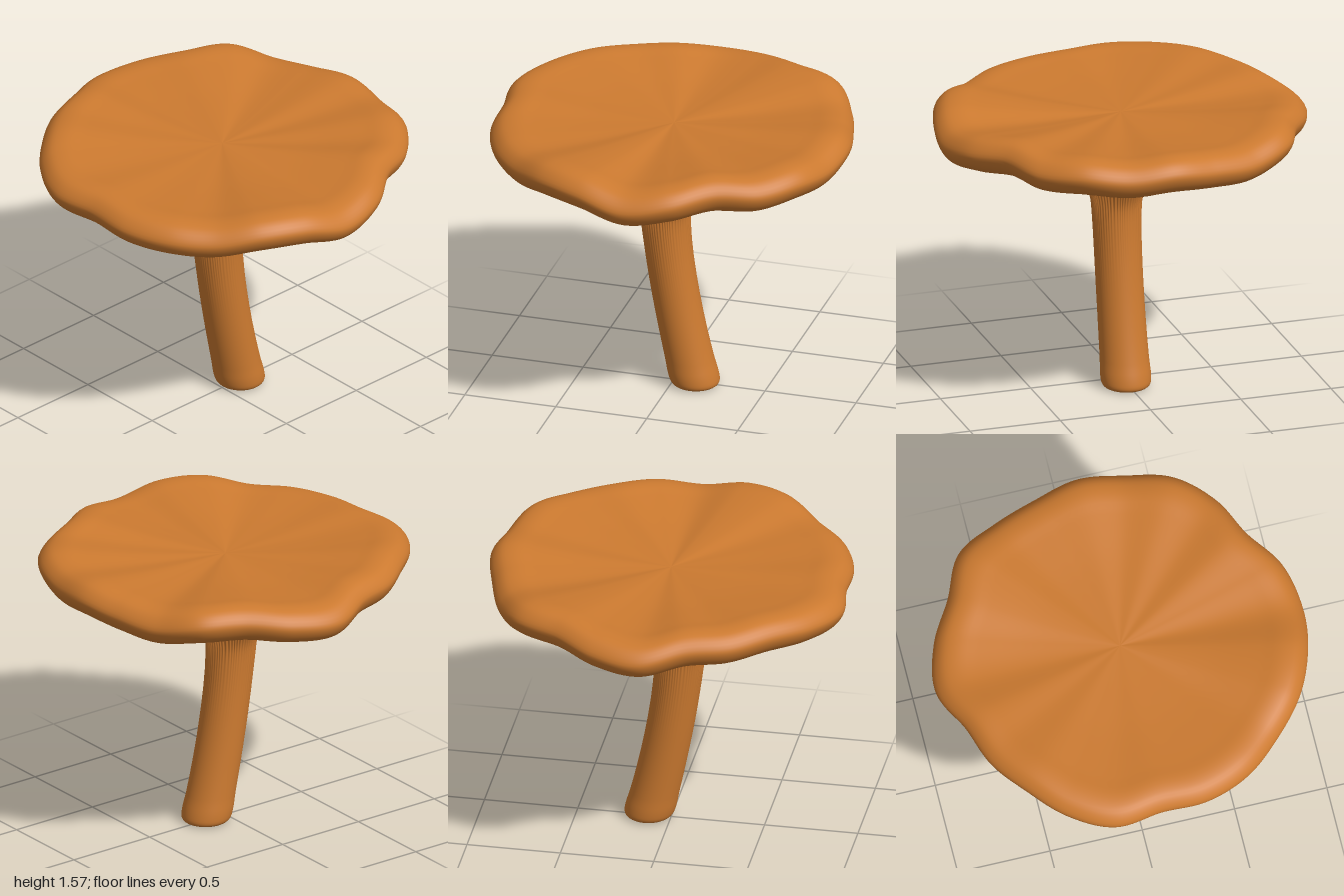
import * as THREE from 'three';

const COLS = 336, STEP = 4; // vertices around, rings per profile segment

// Cap outline radius and rim height offset, every 15 degrees from +x towards the back
const OUTLINE = [0.965, 0.945, 0.965, 0.995, 0.945, 0.98, 0.997, 0.93, 0.94, 0.945, 0.98, 0.997,
  0.94, 0.965, 0.975, 0.965, 0.985, 0.99, 0.993, 0.975, 0.92, 0.97, 0.99, 0.968];
const WAVE = [0.015, -0.01, -0.025, 0.02, 0.02, -0.01, -0.025, 0.015, 0.015, 0.03, 0.015, 0,
  0, -0.015, -0.02, -0.025, 0.02, 0.015, -0.04, -0.005, 0.025, 0.005, 0.02, -0.005];

// Profile (radius, height): top centre, over the rim, under the cap, down the stem
const PROFILE = [
  [0, 1.5], [0.25, 1.505], [0.5, 1.515], [0.75, 1.535], [0.87, 1.545], [0.95, 1.525], [1, 1.465],
  [0.985, 1.41], [0.94, 1.367], [0.75, 1.318], [0.5, 1.265], [0.28, 1.19], [0.18, 1.11], [0.14, 1.02],
  [0.13, 0.9], [0.126, 0.5], [0.13, 0.15], [0.134, 0.06], [0.128, 0.018], [0.108, 0.002], [0, 0],
];
const RIM = 6, GILL_START = 8, STEM_START = 14;

// Smooth closed interpolation through evenly spaced samples
function periodic(samples, t) {
  const n = samples.length, f = t * n, i = Math.floor(f), u = f - i;
  const [a, b, c, d] = [-1, 0, 1, 2].map((k) => samples[(i + k + n) % n]);
  return b + 0.5 * u * (c - a + u * (2 * a - 5 * b + 4 * c - d + u * (3 * (b - c) + d - a)));
}

function buildSurface() {
  const curve = new THREE.CatmullRomCurve3(PROFILE.map(([r, y]) => new THREE.Vector3(r, y, 0)));
  const rows = (PROFILE.length - 1) * STEP;
  const smooth = THREE.MathUtils.smoothstep;
  const positions = [], index = [];
  for (let i = 0; i <= rows; i++) {
    const k = i / STEP;
    const p = curve.getPoint(i / rows);
    const R = i === 0 || i === rows ? 0 : Math.max(p.x, 0);
    const spread = k < RIM ? 1 : smooth(R, 0.15, 0.9);
    const wavy = k < STEM_START ? Math.pow(R, k < RIM ? 1.2 : 2) * spread : 0;
    const gill = smooth(k, GILL_START, GILL_START + 2) * (1 - smooth(k, 12.5, 15));
    // The stem leans and bends towards +x at its foot
    const bend = -0.045 + 0.17 * Math.pow(Math.max(0, 1 - p.y), 1.5);
    const cx = bend * (1 - spread), cz = 0.01 * (1 - spread);
    for (let j = 0; j < COLS; j++) {
      const t = j / COLS, a = t * Math.PI * 2;
      const ridge = 0.0045 * gill *
        Math.cos(56 * a + 1.2 * Math.sin(5 * a) + 0.8 * Math.sin(11 * a + 8 * R));
      const r = R * THREE.MathUtils.lerp(1, periodic(OUTLINE, t), spread) - ridge * 0.6;
      const y = Math.max(0, p.y) + wavy * periodic(WAVE, t) + ridge;
      positions.push(cx + r * Math.cos(a), y, cz - r * Math.sin(a));
      if (i < rows) {
        const A = i * COLS + j, B = i * COLS + (j + 1) % COLS;
        index.push(A, A + COLS, B + COLS, A, B + COLS, B);
      }
    }
  }
  const geometry = new THREE.BufferGeometry();
  geometry.setAttribute('position', new THREE.Float32BufferAttribute(positions, 3));
  geometry.setIndex(index);
  geometry.computeVertexNormals();
  return geometry;
}

export function createModel() {
  const group = new THREE.Group();
  group.name = 'mushroom';
  const orange = new THREE.MeshStandardMaterial({ color: 0xcc7a30 });
  orange.name = 'mushroom orange';

  // One continuous skin, divided into cap, gills and stem with shared normals
  const surface = buildSurface();
  const perSegment = STEP * COLS * 6;
  const parts = [['cap', 0, GILL_START], ['gills', GILL_START, STEM_START],
    ['stem', STEM_START, PROFILE.length - 1]];
  for (const [name, from, to] of parts) {
    const geometry = new THREE.BufferGeometry();
    geometry.setAttribute('position', surface.getAttribute('position'));
    geometry.setAttribute('normal', surface.getAttribute('normal'));
    geometry.setIndex(Array.from(surface.index.array.slice(from * perSegment, to * perSegment)));
    const mesh = new THREE.Mesh(geometry, orange);
    mesh.name = name;
    group.add(mesh);
  }
  return group;
}
